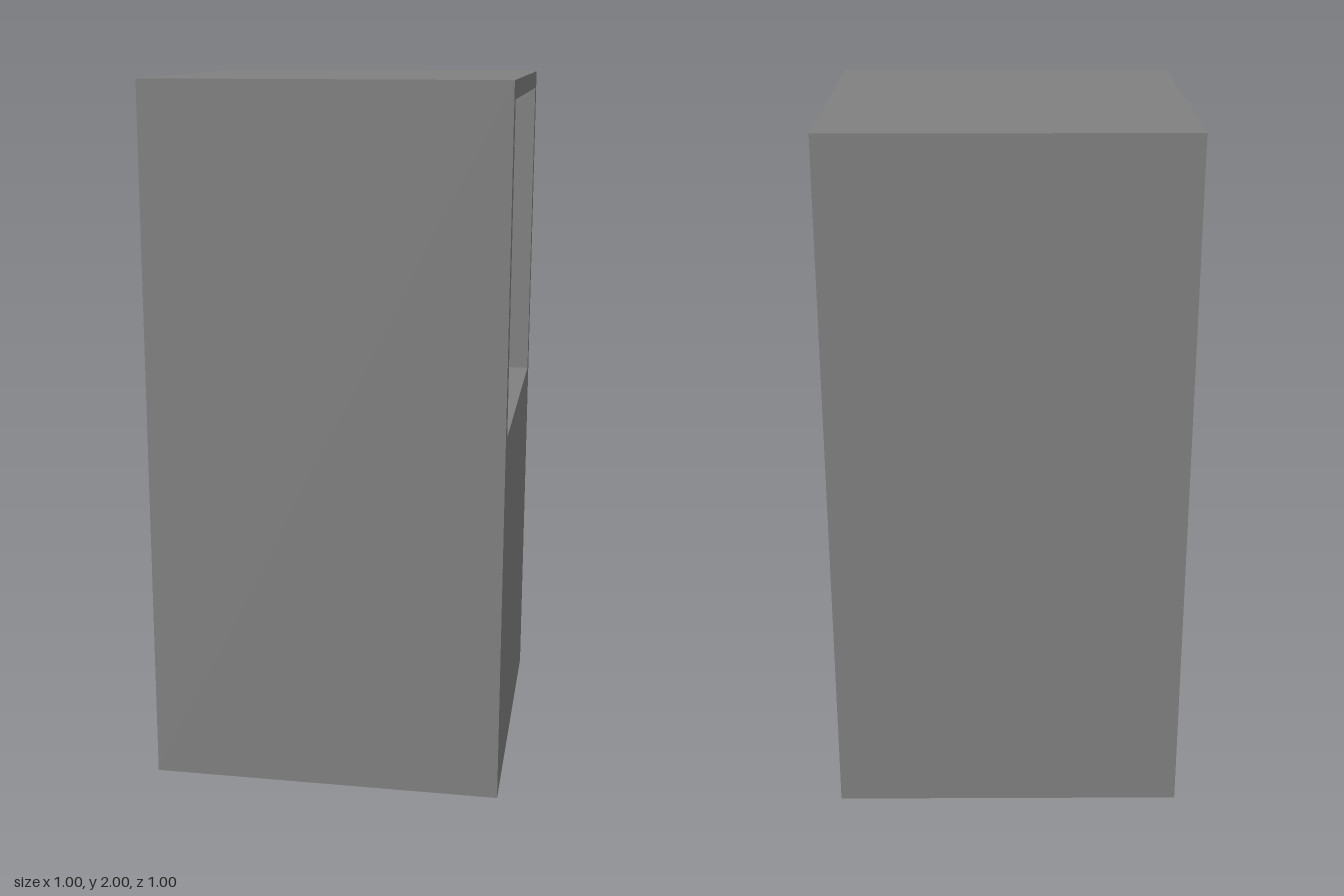
import * as THREE from 'three';

const WIDTH = 1, DEPTH = 1, HEIGHT = 2, WALL = 0.05;

// Adds a rectangle to a shape or path
function rect(path, x0, y0, x1, y1) {
  path.moveTo(x0, y0);
  path.lineTo(x1, y0);
  path.lineTo(x1, y1);
  path.lineTo(x0, y1);
  path.closePath();
  return path;
}

export function createModel() {
  const group = new THREE.Group();
  group.name = 'openCabinet';

  // Side profile: solid lower half, framed opening in the upper half
  const profile = rect(new THREE.Shape(), -DEPTH / 2, 0, DEPTH / 2, HEIGHT);
  profile.holes.push(rect(new THREE.Path(),
    -DEPTH / 2 + WALL, HEIGHT / 2 + WALL, DEPTH / 2 - WALL, HEIGHT - WALL));

  // Run the profile from right to left so the opening passes straight through
  const geometry = new THREE.ExtrudeGeometry(profile, { depth: WIDTH, bevelEnabled: false });
  geometry.translate(0, 0, -WIDTH / 2);
  geometry.rotateY(Math.PI / 2);

  const body = new THREE.Mesh(geometry, new THREE.MeshStandardMaterial({ color: 0x808080 }));
  body.name = 'cabinetBody';
  group.add(body);
  return group;
}
